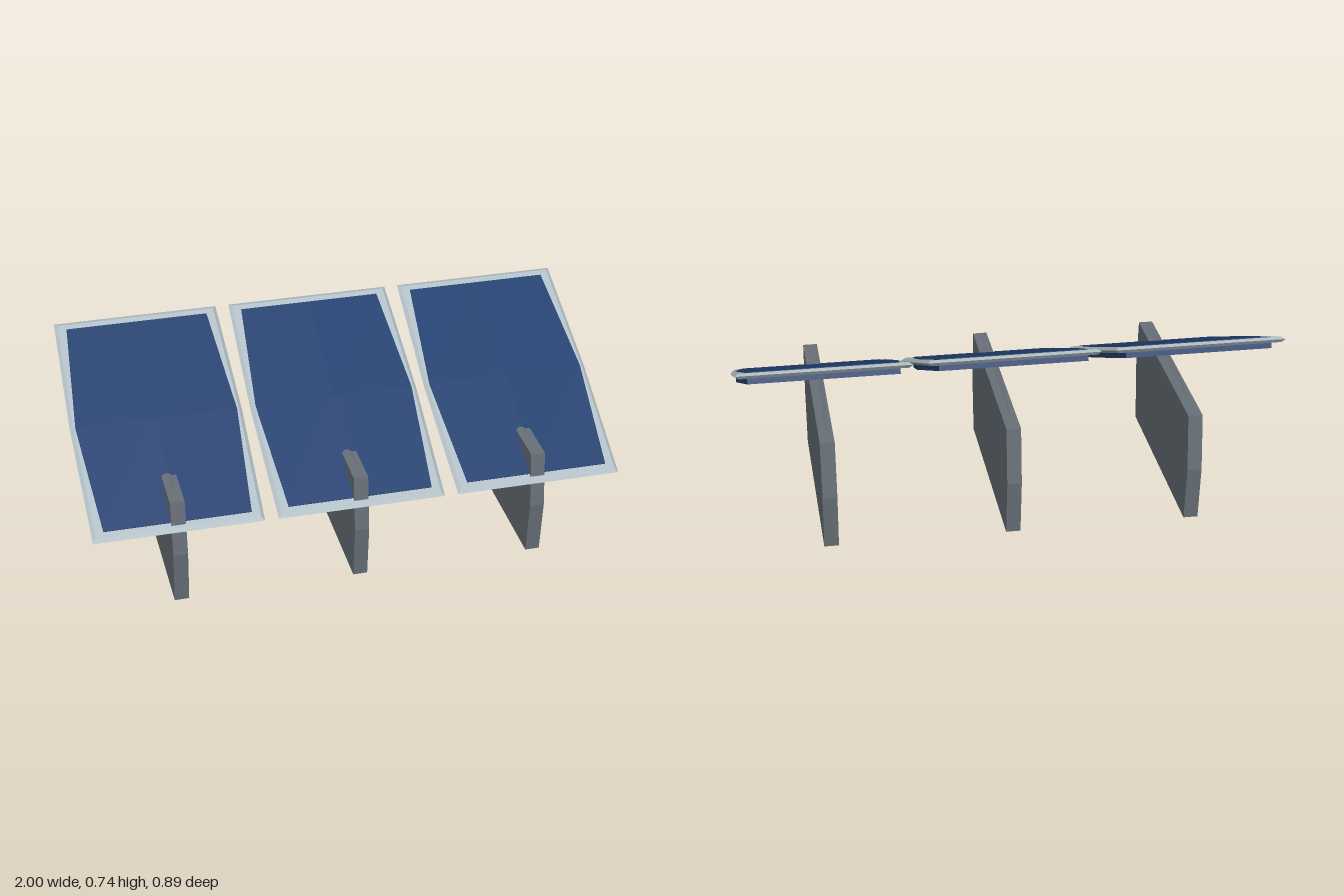
import * as THREE from 'three';

// Box split in two along each axis; rule(sx, sy, sz) returns the half extents
// at each vertex, with s = 0 on the mid planes and +-1 on the outer faces.
function bulgedBox(rule) {
  const g = new THREE.BoxGeometry(2, 2, 2, 2, 2, 2).toNonIndexed();
  const p = g.attributes.position;
  for (let i = 0; i < p.count; i++) {
    const s = [p.getX(i), p.getY(i), p.getZ(i)].map(Math.round);
    const half = rule(...s);
    p.setXYZ(i, s[0] * half[0], s[1] * half[1], s[2] * half[2]);
  }
  g.computeVertexNormals();
  return g;
}

export function createModel() {
  const model = new THREE.Group();
  model.name = 'solarArray';

  const supportGrey = new THREE.MeshStandardMaterial({ color: 0x697179 });
  supportGrey.name = 'support grey';
  const frameGrey = new THREE.MeshStandardMaterial({ color: 0xb0bec5 });
  frameGrey.name = 'frame light grey';
  const cellBlue = new THREE.MeshStandardMaterial({ color: 0x213f6e });
  cellBlue.name = 'cell blue';

  // Upright slab: bowed ends, slightly peaked top and bottom
  const supportGeo = bulgedBox((x, y, z) => [
    0.027,
    0.215 + (x === 0 && z === 0 ? 0.01 : 0),
    0.415 + (y === 0 ? 0.023 : 0),
  ]);
  // Frame: ridge around the rim, sides slightly bowed
  const frameGeo = bulgedBox((x, y, z) => [
    0.3 + (y === 0 ? 0.013 : 0) + (z === 0 ? 0.01 : 0),
    0.01,
    0.475 + (y === 0 ? 0.015 : 0),
  ]);
  // Cell slab: bowed long sides, slightly peaked faces
  const cellGeo = bulgedBox((x, y, z) => [
    0.27 + (z === 0 ? 0.033 : 0),
    0.021 + (x === 0 && z === 0 ? 0.004 : 0),
    0.452,
  ]);

  const add = (parent, name, geo, mat, y) => {
    const mesh = new THREE.Mesh(geo, mat);
    mesh.name = name;
    mesh.position.y = y;
    parent.add(mesh);
  };

  for (const side of [-1, 0, 1]) {
    const unit = new THREE.Group();
    unit.name = ['rightUnit', 'middleUnit', 'leftUnit'][side + 1];
    unit.position.x = side * 0.677;
    add(unit, 'support', supportGeo, supportGrey, 0.225);

    // Panel tilted down towards the front
    const panel = new THREE.Group();
    panel.name = 'panel';
    panel.position.y = 0.536;
    panel.rotation.x = THREE.MathUtils.degToRad(25);
    add(panel, 'frame', frameGeo, frameGrey, -0.001);
    add(panel, 'cells', cellGeo, cellBlue, -0.01);
    unit.add(panel);
    model.add(unit);
  }
  return model;
}
